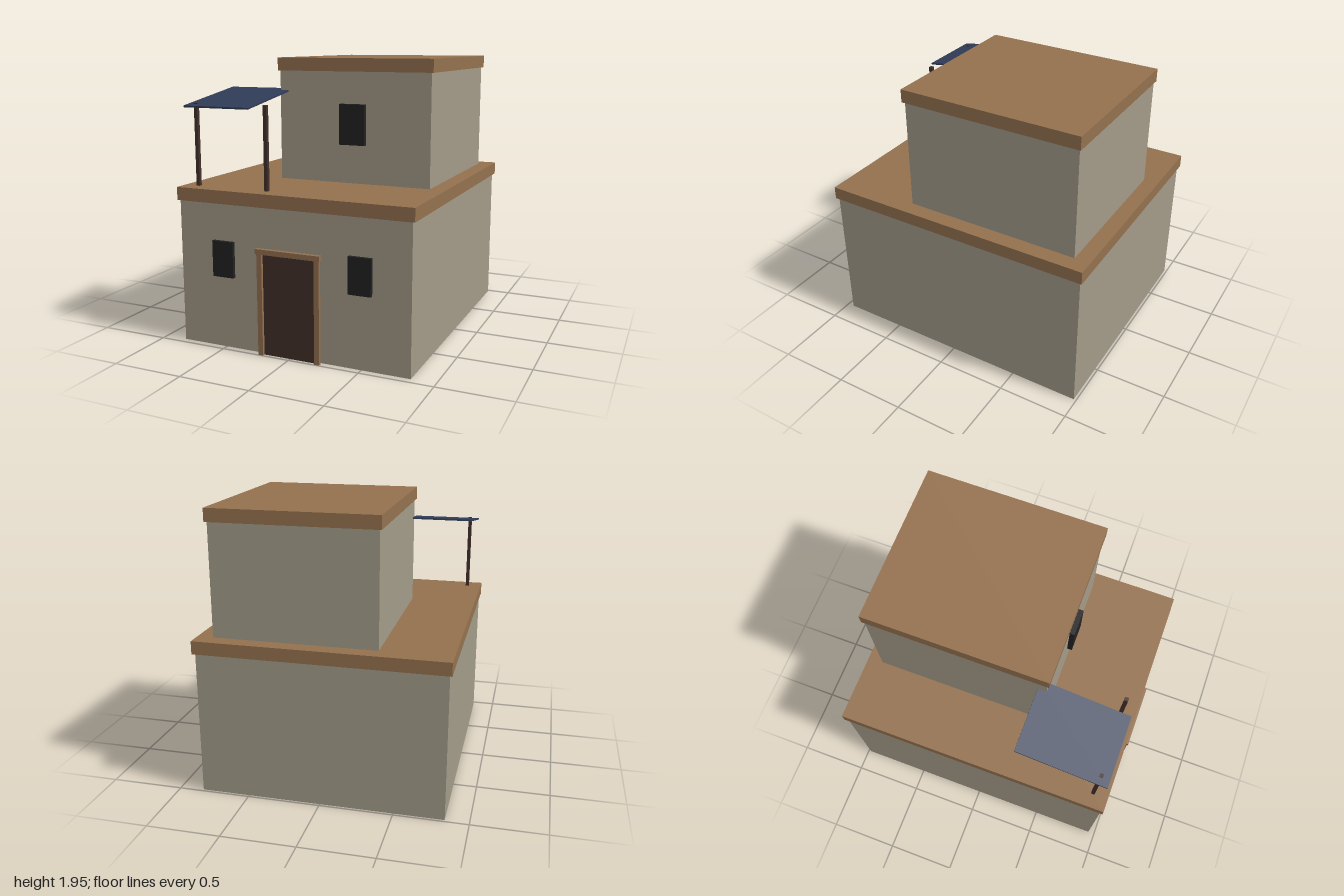
import * as THREE from 'three';

const material = (name, color) => {
  const m = new THREE.MeshStandardMaterial({ color });
  m.name = name;
  return m;
};

export function createModel() {
  const model = new THREE.Group();
  model.name = 'house';

  const plaster = material('plaster', 0xa39b89);
  const timber = material('timber', 0x94714f);
  const darkWood = material('darkWood', 0x43302a);
  const glass = material('darkGlass', 0x222222);
  const cloth = material('blueCloth', 0x303c58);

  // Box given by its extents on each axis
  const block = (name, mat, [x0, x1], [y0, y1], [z0, z1]) => {
    const mesh = new THREE.Mesh(new THREE.BoxGeometry(x1 - x0, y1 - y0, z1 - z0), mat);
    mesh.position.set((x0 + x1) / 2, (y0 + y1) / 2, (z0 + z1) / 2);
    mesh.name = name;
    model.add(mesh);
    return mesh;
  };

  // Two storeys, each capped by an overhanging roof slab
  block('lowerWalls', plaster, [-0.84, 0.835], [0, 1.0], [-0.982, 0.952]);
  block('lowerRoof', timber, [-0.855, 0.853], [1.0, 1.09], [-1.0, 0.967]);
  block('upperWalls', plaster, [-0.377, 0.742], [1.09, 1.86], [-0.892, 0.358]);
  block('upperRoof', timber, [-0.39, 0.758], [1.86, 1.95], [-0.905, 0.373]);

  // Windows
  block('lowerWindowRight', glass, [-0.578, -0.42], [0.5, 0.747], [0.945, 0.977]);
  block('lowerWindowLeft', glass, [0.416, 0.574], [0.5, 0.747], [0.945, 0.977]);
  block('upperWindow', glass, [0.091, 0.28], [1.36, 1.64], [0.35, 0.393]);

  // Door with posts and lintel
  block('door', darkWood, [-0.192, 0.188], [0, 0.688], [0.945, 0.975]);
  block('doorPostRight', timber, [-0.228, -0.192], [0, 0.695], [0.972, 0.995]);
  block('doorPostLeft', timber, [0.188, 0.224], [0, 0.695], [0.972, 0.995]);
  block('doorLintel', timber, [-0.237, 0.232], [0.695, 0.73], [0.97, 1.0]);

  // Terrace poles
  block('polesOuter', darkWood, [-0.762, -0.737], [1.09, 1.655], [0.845, 0.87]);
  block('poleInner', darkWood, [-0.233, -0.207], [1.09, 1.655], [0.84, 0.866]);

  // Awning sloping down to the front
  const awning = block('awning', cloth, [-0.812, -0.314], [1.674, 1.686], [0.293, 0.922]);
  awning.rotation.x = 0.15;

  return model;
}
